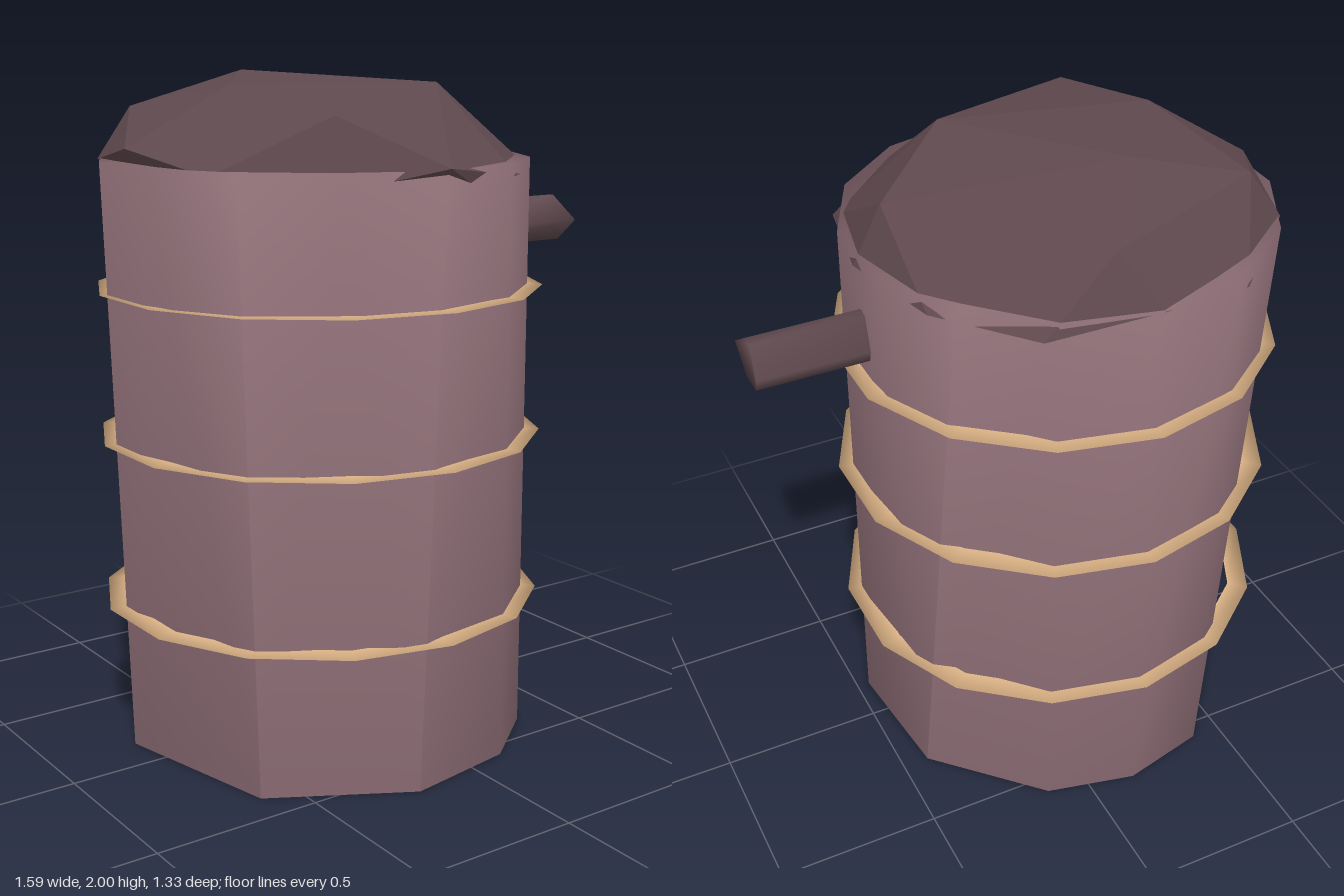
import * as THREE from 'three';
import { mergeVertices } from 'three/addons/utils/BufferGeometryUtils.js';
import { ConvexGeometry } from 'three/addons/geometries/ConvexGeometry.js';

const CX = -0.144; // barrel axis
const SIDES = 14;
const STEP = 360 / SIDES;

const bodyMat = new THREE.MeshStandardMaterial({ color: 0x94737b });
bodyMat.name = 'mauveBarrel';
const lidMat = new THREE.MeshStandardMaterial({ color: 0x5f494e });
lidMat.name = 'darkPlum';
const hoopMat = new THREE.MeshStandardMaterial({ color: 0xdcb386 });
hoopMat.name = 'tanHoop';

function part(name, geometry, material) {
  const mesh = new THREE.Mesh(geometry, material);
  mesh.name = name;
  return mesh;
}

// Shared vertices give soft shading that rolls over the edges
function soften(geometry) {
  geometry.deleteAttribute('normal');
  geometry.deleteAttribute('uv');
  const merged = mergeVertices(geometry, 1e-4);
  merged.computeVertexNormals();
  return merged;
}

// Barrel body: 14 sides at the top, a cruder, slightly narrower foot
function bodyGeometry() {
  const footAngles = [13, 39, 64, 97, 97, 141, 141, 193, 193, 244, 270, 296, 335, 335];
  const pos = [];
  const ring = (angleAt, y, leftX) => {
    for (let k = 0; k < SIDES; k++) {
      const a = THREE.MathUtils.degToRad(angleAt(k));
      let x = Math.cos(a) * 0.62;
      if (x < 0) x *= leftX;
      pos.push(CX + x, y, Math.sin(a) * 0.62);
    }
  };
  ring((k) => footAngles[k], 0, 0.97);
  ring((k) => STEP * (k + 0.5), 1.755, 1.06);
  pos.push(CX, 0, 0, CX, 1.755, 0);
  const index = [];
  for (let k = 0; k < SIDES; k++) {
    const n = (k + 1) % SIDES;
    index.push(k, SIDES + k, n, n, SIDES + k, SIDES + n);
    index.push(2 * SIDES, k, n, 2 * SIDES + 1, SIDES + n, SIDES + k);
  }
  const g = new THREE.BufferGeometry();
  g.setAttribute('position', new THREE.Float32BufferAttribute(pos, 3));
  g.setIndex(index);
  g.computeVertexNormals();
  return g;
}

// Faceted domed lid with an uneven rim
function lidGeometry() {
  const rim = [
    [-0.77, 1.8, -0.01], [-0.7, 1.75, -0.32], [-0.46, 1.7, -0.54], [-0.15, 1.75, -0.62],
    [0.17, 1.71, -0.56], [0.39, 1.72, -0.32], [0.47, 1.72, 0], [0.41, 1.71, 0.31],
    [0.17, 1.72, 0.53], [-0.15, 1.76, 0.64], [-0.46, 1.7, 0.53], [-0.69, 1.74, 0.3],
    [-0.74, 1.76, 0.02], [-0.02, 1.7, 0.585],
  ];
  const crown = [
    [0.39, 1.9, -0.02], [-0.42, 1.9, 0.49], [0.1, 1.97, 0.25], [-0.5, 1.97, 0.1],
    [-0.25, 2.0, -0.25], [-0.05, 1.91, -0.53], [-0.6, 1.9, -0.3],
  ];
  return new ConvexGeometry([...rim, ...crown].map((p) => new THREE.Vector3(...p)));
}

// Spout: irregular rod pointing to the side
function spoutGeometry() {
  const outline = [
    [-0.095, 1.515], [-0.015, 1.445], [0.065, 1.445], [0.075, 1.48], [0.045, 1.58], [0.015, 1.588],
  ].map(([x, y]) => new THREE.Vector2(x, y));
  const g = new THREE.ExtrudeGeometry(new THREE.Shape(outline), { depth: 0.395, bevelEnabled: false });
  g.rotateY(Math.PI / 2).translate(0.4, 0, 0);
  return soften(g);
}

// Hoop: thin ring standing proud of the body
function hoopGeometry() {
  const section = [[0.6, -0.005], [0.665, 0], [0.6, 0.005]].map(([r, y]) => new THREE.Vector2(r, y));
  return new THREE.LatheGeometry(section, SIDES);
}

export function createModel() {
  const model = new THREE.Group();
  model.name = 'barrel';
  model.add(part('body', bodyGeometry(), bodyMat));
  model.add(part('lid', lidGeometry(), lidMat));
  model.add(part('spout', spoutGeometry(), lidMat));

  const hoop = hoopGeometry();
  [0.44, 0.94, 1.38].forEach((y, i) => {
    const mesh = part(['lowerHoop', 'middleHoop', 'upperHoop'][i], hoop, hoopMat);
    mesh.position.set(CX, y, 0);
    model.add(mesh);
  });
  return model;
}
